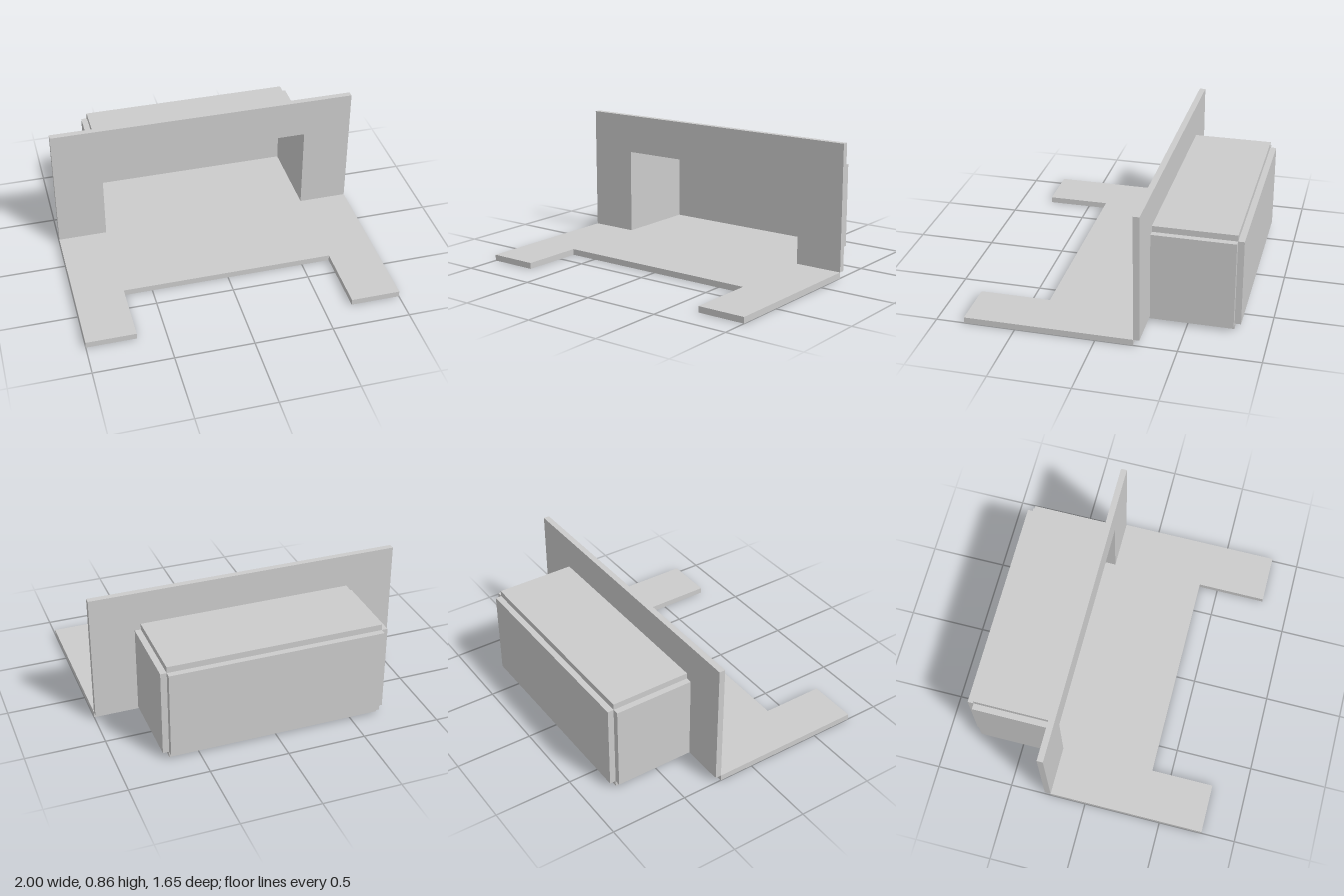
import * as THREE from 'three';

const T = 0.039;                 // sheet thickness
const W = 0.684;                 // half width of the opening
const TOP = 0.6;                 // top of the opening
const H = 0.855;                 // top of the wall
const Z_WALL = -0.232;           // front face of the wall
const Z_BOX = Z_WALL - T;        // back face of the wall
const Z_END = -0.785;            // inner face of the back panel

export function createModel() {
  const model = new THREE.Group();
  const material = new THREE.MeshStandardMaterial({ color: 0xcccccc, flatShading: true });

  const add = (name, geometry) => {
    const mesh = new THREE.Mesh(geometry, material);
    mesh.name = name;
    model.add(mesh);
    return mesh;
  };
  const sheet = (points) => new THREE.ExtrudeGeometry(
    new THREE.Shape(points.map(([x, y]) => new THREE.Vector2(x, y))),
    { depth: T, bevelEnabled: false });
  const panel = (name, x0, x1, y0, y1, z0, z1) => {
    add(name, new THREE.BoxGeometry(x1 - x0, y1 - y0, z1 - z0))
      .position.set((x0 + x1) / 2, (y0 + y1) / 2, (z0 + z1) / 2);
  };

  // Floor: wide front with two arms of unequal length, narrow tongue at the back.
  // Outline is drawn as (x, -z) and laid flat.
  add('floor', sheet([
    [-1, -0.78], [-W, -0.78], [-W, -0.374], [W, -0.374], [W, -0.822], [1, -0.822],
    [1, -Z_WALL], [W, -Z_WALL], [W, -Z_END], [-W, -Z_END], [-W, -Z_WALL], [-1, -Z_WALL],
  ]).rotateX(-Math.PI / 2));

  // Front wall standing on the floor level, cut out for the opening
  add('frontWall', sheet([
    [-1, T], [-W, T], [-W, TOP], [W, TOP], [W, T], [1, T], [1, H], [-1, H],
  ]).translate(0, 0, Z_BOX));

  // Recessed box behind the opening
  panel('leftPanel', W, W + T, T, TOP, Z_END, Z_BOX);
  panel('rightPanel', -W - T, -W, T, TOP, Z_END, Z_BOX);
  panel('backPanel', -W, W, T, TOP, Z_END - T, Z_END);
  panel('topPanel', -W, W, TOP, TOP + T, Z_END, Z_BOX);

  return model;
}
